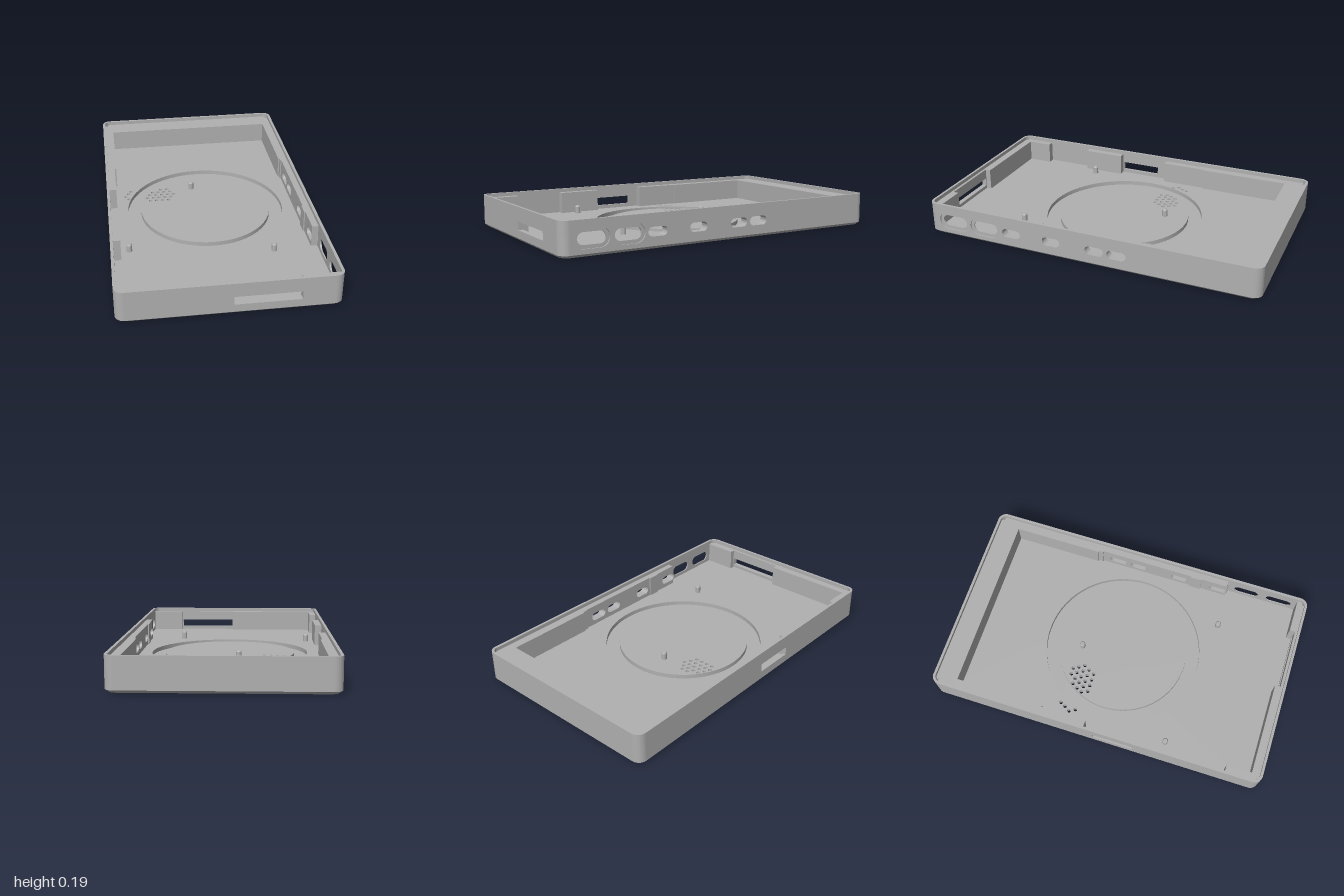
import * as THREE from 'three';
import { toCreasedNormals } from 'three/addons/utils/BufferGeometryUtils.js';

const W = 0.59, L = 1, H = 0.19, R = 0.05;
const BASE = 0.015, FLOOR = 0.04, LEDGE = 0.168;

function rect(x0, x1, y0, y1) {
  return new THREE.Shape([[x0, y0], [x1, y0], [x1, y1], [x0, y1]].map(p => new THREE.Vector2(...p)));
}

function roundedRect(w, l, r) {
  const s = new THREE.Shape();
  s.absarc(w - r, l - r, r, 0, Math.PI / 2);
  s.absarc(-w + r, l - r, r, Math.PI / 2, Math.PI);
  s.absarc(-w + r, -l + r, r, Math.PI, Math.PI * 1.5);
  s.absarc(w - r, -l + r, r, Math.PI * 1.5, Math.PI * 2);
  return s;
}

function circle(x, y, r, Type = THREE.Path) {
  return new Type().absarc(x, y, r, 0, Math.PI * 2);
}

// Stadium-shaped opening
function capsule(u0, u1, v0, v1) {
  const r = (v1 - v0) / 2, v = (v0 + v1) / 2, p = new THREE.Path();
  p.absarc(u1 - r, v, r, -Math.PI / 2, Math.PI / 2);
  p.absarc(u0 + r, v, r, Math.PI / 2, Math.PI * 1.5);
  p.closePath();
  return p;
}

export function createModel() {
  const group = new THREE.Group();
  const grey = new THREE.MeshStandardMaterial({ color: 0xb0b0b0 });
  grey.name = 'casing grey';

  function add(name, geometry) {
    const mesh = new THREE.Mesh(toCreasedNormals(geometry, 0.5), grey);
    mesh.name = name;
    group.add(mesh);
    return mesh;
  }
  function extrude(shape, depth, holes, segments) {
    shape.holes.push(...holes);
    return new THREE.ExtrudeGeometry(shape, { depth, bevelEnabled: false, curveSegments: segments });
  }
  // Horizontal plate, outline in x and z
  function plate(shape, y0, y1, holes = [], segments = 10) {
    return extrude(shape, y1 - y0, holes, segments).rotateX(Math.PI / 2).translate(0, y1, 0);
  }
  // Wall facing sideways, outline in z and y
  function sideWall(name, x0, x1, z0, z1, y0, y1, holes = []) {
    add(name, extrude(rect(z0, z1, y0, y1), x1 - x0, holes, 10).rotateY(-Math.PI / 2).translate(x1, 0, 0));
  }
  // Wall facing front or back, outline in x and y
  function endWall(name, z0, z1, x0, x1, y0, y1, holes = []) {
    add(name, extrude(rect(x0, x1, y0, y1), z1 - z0, holes, 10).translate(0, 0, z0));
  }

  // Speaker holes by row: z, then x positions
  const speaker = [
    [-0.25, -0.44, -0.25, -0.212],
    [-0.22, -0.455, -0.305, -0.27, -0.232, -0.195],
    [-0.188, -0.475, -0.325, -0.287, -0.25, -0.212, -0.175],
    [-0.155, -0.457, -0.34, -0.305, -0.27, -0.232, -0.195],
    [-0.12, -0.325, -0.287, -0.25, -0.212],
  ].flatMap(([z, ...xs]) => xs.map(x => [x, z]));
  const vents = keep => speaker.filter(([x, z]) => keep(Math.hypot(x, z))).map(([x, z]) => circle(x, z, 0.011));

  // Base plate with chamfered lower edge
  const base = plate(roundedRect(W, L, R), 0, BASE, vents(() => true));
  const p = base.attributes.position;
  for (let i = 0; i < p.count; i++) {
    const x = p.getX(i), z = p.getZ(i);
    if (p.getY(i) < 0.001 && (Math.abs(x) > 0.5 || Math.abs(z) > 0.9)) {
      p.setX(i, x * (W - 0.016) / W);
      p.setZ(i, z * (L - 0.016) / L);
    }
  }
  base.computeVertexNormals();
  add('basePlate', base);

  // Floor with a ring-shaped groove around a centre disc
  add('floor', plate(roundedRect(W - 0.01, L - 0.01, R - 0.01), BASE, FLOOR,
    [circle(0, 0, 0.47), ...vents(r => r > 0.45)], 32));
  add('centreDisc', plate(circle(0, 0, 0.39, THREE.Shape), BASE, FLOOR, vents(r => r < 0.4), 32));

  // Rounded corners of the outer wall
  for (const sx of [-1, 1]) for (const sz of [-1, 1]) {
    const a = Math.atan2(sz, sx) - Math.PI / 4, s = new THREE.Shape();
    const cx = sx * (W - R), cz = sz * (L - R);
    s.absarc(cx, cz, R, a, a + Math.PI / 2, false);
    s.absarc(cx, cz, R - 0.015, a + Math.PI / 2, a, true);
    add('cornerWall', plate(s, BASE, H));
  }

  // Right wall: two large ports with outer recesses, four small ports
  const bigPorts = [[0.73, 0.928], [0.527, 0.72]];
  const smallPorts = [[0.395, 0.51], [0.145, 0.255], [-0.12, -0.01], [-0.255, -0.14]];
  const small = () => smallPorts.map(([a, b]) => capsule(a, b, 0.066, 0.117));
  const big = inset => bigPorts.map(([a, b]) => capsule(a + inset, b - inset, 0.04 + inset, 0.145 - inset));
  const zEnd = L - R, xEnd = W - R;
  sideWall('rightWallOuter', W - 0.008, W, -zEnd, zEnd, BASE, H, [...small(), ...big(0)]);
  sideWall('rightWallInner', W - 0.016, W - 0.008, -zEnd, zEnd, BASE, H, [...small(), ...big(0.02)]);
  sideWall('rightLedge', 0.522, W - 0.016, -0.87, -0.33, FLOOR, LEDGE);
  sideWall('rightPortLedge', 0.537, W - 0.016, -0.33, 0.5, FLOOR, LEDGE, small());
  for (const [z0, z1] of [[-0.33, -0.3], [0.2, 0.0], [0.27, 0.34]]) {
    if (z1 > z0) sideWall('rightLedgeRib', 0.53, 0.537, z0, z1, FLOOR, LEDGE);
  }

  // Left wall with slot, and the ledge blocks inside it
  const sideSlot = new THREE.Path(rect(0, 0.24, 0.062, 0.112).getPoints());
  sideWall('leftWall', -W, -W + 0.016, -zEnd, zEnd, BASE, H, [sideSlot]);
  for (const [z0, z1, x] of [[-0.87, -0.33, -0.523], [-0.33, -0.06, -0.533], [0.25, 0.5, -0.533], [0.79, 0.97, -0.533]]) {
    sideWall('leftLedge', -W + 0.016, x, z0, z1, FLOOR, LEDGE);
  }

  // Front wall with slot, and its ledge
  const frontSlot = () => new THREE.Path(rect(0.015, 0.37, 0.06, 0.108).getPoints());
  endWall('frontWall', L - 0.015, L, -xEnd, xEnd, BASE, H, [frontSlot()]);
  endWall('frontWallInner', 0.97, L - 0.015, -0.555, 0.555, FLOOR, LEDGE, [frontSlot()]);
  endWall('frontLedge', 0.938, 0.97, -0.574, 0.01, FLOOR, LEDGE);
  endWall('frontLedge', 0.938, 0.97, 0.375, 0.574, FLOOR, LEDGE);

  // Back wall with its wide ledge
  endWall('backWall', -L, -L + 0.015, -xEnd, xEnd, BASE, H);
  endWall('backLedge', -0.965, -0.86, -0.574, 0.574, FLOOR, LEDGE);
  endWall('backLedge', -L + 0.015, -0.965, -0.555, 0.555, FLOOR, LEDGE);

  // Locating pegs
  const profile = [[0.016, 0], [0.016, 0.04], [0.011, 0.048], [0, 0.048]].map(q => new THREE.Vector2(...q));
  for (const [x, z] of [[-0.06, -0.24], [-0.485, 0.415], [0.322, 0.515]]) {
    add('peg', new THREE.LatheGeometry(profile, 20)).position.set(x, FLOOR, z);
  }
  return group;
}
